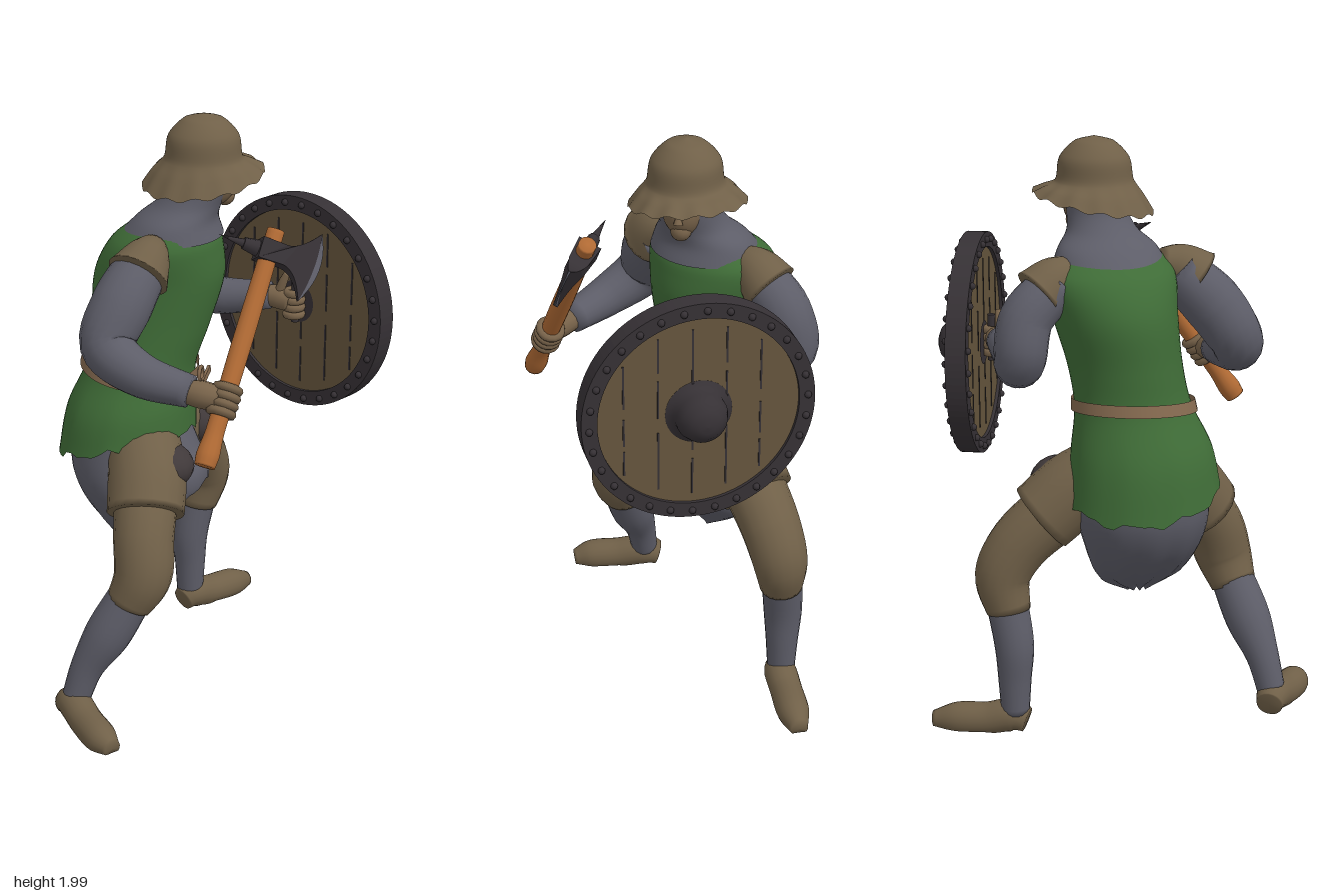
import * as THREE from 'three';

const V = (x, y, z) => new THREE.Vector3(x, y, z);
const mat = (name, color, side = THREE.FrontSide) => {
  const m = new THREE.MeshStandardMaterial({ color, side });
  m.name = name;
  return m;
};

export function createModel() {
  const green = mat('green cloth', 0x3f6c37, THREE.DoubleSide);
  const mail = mat('grey mail', 0x5d5d68, THREE.DoubleSide);
  const leather = mat('brown leather', 0x706048, THREE.DoubleSide);
  const skin = mat('skin', 0x78634a);
  const beltMat = mat('belt leather', 0x84694f, THREE.DoubleSide);
  const handleWood = mat('handle wood', 0xb06a34);
  const plankWood = mat('plank wood', 0x66563d);
  const iron = mat('dark iron', 0x363135);
  const darkCloth = mat('dark cloth', 0x40393a);

  const model = new THREE.Group();
  model.name = 'warrior';
  const add = (name, geo, material, parent = model) => {
    const m = new THREE.Mesh(geo, material);
    m.name = name;
    parent.add(m);
    return m;
  };

  // Joins rings of points into a smooth skin
  const skinRings = (rings) => {
    const n = rings[0].length, pos = [], idx = [];
    rings.forEach((r) => r.forEach((p) => pos.push(p.x, p.y, p.z)));
    for (let i = 0; i < rings.length - 1; i++) {
      for (let j = 0; j < n; j++) {
        const a = i * n + j, b = i * n + (j + 1) % n, c = a + n, d = b + n;
        idx.push(a, c, b, b, c, d);
      }
    }
    const g = new THREE.BufferGeometry();
    g.setAttribute('position', new THREE.Float32BufferAttribute(pos, 3));
    g.setIndex(idx);
    g.computeVertexNormals();
    return g;
  };

  // Rounded limb through points [x, y, z, radius], closed at both ends
  const limb = (pts, n = 18) => {
    const path = new THREE.CatmullRomCurve3(pts.map((p) => V(p[0], p[1], p[2])));
    const size = new THREE.CatmullRomCurve3(pts.map((p, i) => V(p[3], i, 0)));
    const span = path.getPoint(1).sub(path.getPoint(0));
    const s = [Math.abs(span.x), Math.abs(span.y), Math.abs(span.z)];
    const ref = V(0, 0, 0).setComponent(s.indexOf(Math.min(...s)), 1);
    const steps = (pts.length - 1) * 6, rings = [];
    const ring = (t, k) => {
      const c = path.getPoint(t), T = path.getTangent(t), r = size.getPoint(t).x * k;
      const N = ref.clone().addScaledVector(T, -ref.dot(T)).normalize();
      const B = N.clone().cross(T);
      rings.push(Array.from({ length: n }, (_, j) => {
        const a = (j / n) * Math.PI * 2;
        return c.clone().addScaledVector(N, Math.cos(a) * r).addScaledVector(B, Math.sin(a) * r);
      }));
    };
    ring(0, 0.001);
    for (let i = 0; i <= steps; i++) ring(i / steps, 1);
    ring(1, 0.001);
    return skinRings(rings);
  };

  // Upright shell through rows [x, y, z, depth, width], turned by yaw
  const shell = (rows, yaw, bend = () => {}, n = 48, per = 6) => {
    const mid = new THREE.CatmullRomCurve3(rows.map((p) => V(p[0], p[1], p[2])));
    const size = new THREE.CatmullRomCurve3(rows.map((p, i) => V(p[3], p[4], i)));
    const steps = (rows.length - 1) * per, c = Math.cos(yaw), s = Math.sin(yaw);
    return skinRings(Array.from({ length: steps + 1 }, (_, i) => {
      const t = i / steps, m = mid.getPoint(t), r = size.getPoint(t);
      return Array.from({ length: n }, (_, j) => {
        const a = (j / n) * Math.PI * 2, u = r.x * Math.cos(a), w = r.y * Math.sin(a);
        const p = V(m.x + c * u + s * w, m.y, m.z - s * u + c * w);
        bend(p, a, t);
        return p;
      });
    }));
  };
  const bodyYaw = 0.52, headYaw = 1.1;

  // Tunic with a ragged, sloping hem
  add('tunic', shell([
    [-.2, .87, .09, .235, .255], [-.19, 1.0, .08, .22, .235], [-.17, 1.14, .05, .185, .195],
    [-.155, 1.28, .02, .2, .188], [-.145, 1.45, -.015, .22, .205], [-.125, 1.57, -.03, .185, .215],
    [-.09, 1.64, -.04, .125, .16], [-.06, 1.68, -.06, .1, .11],
  ], bodyYaw, (p, a, t) => {
    const k = Math.max(0, 1 - t * 4);
    p.y += k * ((p.x + .2) * .28 + .01 * Math.sin(a * 9) + .006 * Math.sin(a * 17));
  }), green);

  // Belt, buckle and hanging strap end
  add('belt', shell([[-.175, 1.125, .055, .2, .21], [-.17, 1.165, .05, .196, .205]], bodyYaw,
    (p) => { p.y -= (p.x + .17) * .13; }), beltMat);
  const buckle = add('buckle', new THREE.TorusGeometry(.024, .007, 6, 16), beltMat);
  buckle.position.set(.012, 1.115, -.05);
  buckle.rotation.y = Math.PI / 2 + bodyYaw;
  const strap = add('strapEnd', new THREE.BoxGeometry(.01, .022, .13), beltMat);
  strap.position.set(0, 1.09, -.085);
  strap.rotation.set(.15, bodyYaw, 0);

  // Mail skirt: a short apron in front, a low rounded bag behind, open between
  const back = [[-.11, .48, .06, .03, .04], [-.13, .545, .065, .1, .15], [-.165, .66, .08, .17, .2],
    [-.19, .78, .085, .2, .225], [-.2, .95, .08, .195, .215]];
  add('mailSkirt', shell(back, bodyYaw, (p, a, t) => {
    const k = (1 - t) * Math.max(0, Math.cos(a));
    p.x += k * .13;
    p.z -= k * .075;
    p.y += k * .27 + (1 - t) * .008 * Math.sin(a * 11);
  }), mail);

  // Mail collar and hood
  add('mailHood', shell([
    [-.105, 1.595, -.035, .17, .19], [-.09, 1.65, -.045, .135, .165], [-.06, 1.7, -.065, .11, .118],
    [-.035, 1.76, -.085, .1, .1], [-.025, 1.86, -.095, .1, .1],
  ], bodyYaw), mail);

  // Face
  const head = new THREE.Group();
  head.name = 'head';
  head.position.set(-.02, 1.775, -.095);
  head.rotation.y = headYaw;
  model.add(head);
  const face = add('face', new THREE.SphereGeometry(.085, 24, 16), skin, head);
  face.position.set(.03, 0, 0);
  face.scale.set(1, 1.05, .8);
  const nose = add('nose', new THREE.ConeGeometry(.016, .05, 8), skin, head);
  nose.position.set(.115, .005, 0);
  nose.rotation.z = .3;
  const chin = add('chin', new THREE.SphereGeometry(.034, 16, 10), skin, head);
  chin.position.set(.075, -.058, 0);

  // Kettle helmet with a wavy brim
  add('helmet', shell([
    [-.025, 1.785, -.1, .203, .19], [-.025, 1.822, -.1, .168, .16], [-.02, 1.856, -.095, .13, .125],
    [-.02, 1.93, -.095, .116, .111], [-.02, 1.983, -.095, .065, .062], [-.02, 2, -.095, .001, .001],
  ], headYaw, (p, a, t) => {
    const k = Math.max(0, 1 - t * 2.6);
    p.y += k * (.006 * Math.sin(a * 13) - (p.z + .1) * .17);
  }, 96), leather);

  // Arms, shoulder caps and palms
  add('rightSleeve', limb([[-.02, 1.56, .18, .085], [-.01, 1.45, .295, .1], [0, 1.33, .375, .09],
    [.12, 1.26, .36, .073], [.28, 1.22, .285, .053]]), mail);
  add('leftSleeve', limb([[-.23, 1.55, -.19, .08], [-.295, 1.45, -.28, .088], [-.315, 1.32, -.3, .085],
    [-.2, 1.28, -.33, .07], [0, 1.3, -.42, .048]]), mail);
  add('rightShoulderCap', limb([[-.04, 1.595, .12, .045], [-.01, 1.57, .185, .08], [0, 1.53, .235, .105]]), leather);
  add('leftShoulderCap', limb([[-.18, 1.59, -.14, .045], [-.225, 1.565, -.195, .077], [-.26, 1.52, -.245, .095]]), leather);
  add('rightPalm', limb([[.25, 1.22, .3, .035], [.31, 1.215, .27, .045], [.36, 1.205, .24, .04]], 12), skin);
  add('leftPalm', limb([[-.02, 1.3, -.41, .035], [.03, 1.295, -.435, .042], [.07, 1.285, -.445, .036]], 12), skin);
  add('leftThumb', limb([[.03, 1.31, -.425, .018], [.045, 1.355, -.43, .016], [.06, 1.39, -.435, .011]], 10), skin);

  // Legs: pelvis, wide shorts, trousers, mail stockings and shoes
  add('pelvis', limb([[-.12, .9, .16, .13], [-.18, .92, .07, .14], [-.2, .9, -.06, .13]]), leather);
  const legs = {
    right: {
      shorts: [[-.1, .93, .12, .12], [0, .82, .2, .132], [.055, .715, .265, .13]],
      trousers: [[0, .8, .2, .11], [.08, .65, .3, .102], [.108, .53, .335, .098], [.08, .43, .375, .078]],
      stocking: [[.085, .46, .365, .074], [.035, .32, .43, .078], [-.01, .2, .485, .057], [-.035, .08, .52, .048]],
      shoe: [[-.085, .05, .515, .045], [-.04, .065, .525, .056], [.06, .045, .56, .056], [.16, .035, .59, .054], [.222, .025, .6, .03]],
    },
    left: {
      shorts: [[-.18, .93, 0, .12], [-.2, .85, -.14, .128], [-.23, .755, -.25, .125]],
      trousers: [[-.21, .82, -.15, .11], [-.255, .67, -.32, .102], [-.275, .56, -.375, .094], [-.29, .44, -.355, .074]],
      stocking: [[-.29, .47, -.36, .07], [-.305, .32, -.335, .066], [-.305, .2, -.335, .056], [-.305, .08, -.335, .048]],
      shoe: [[-.305, .05, -.295, .042], [-.3, .065, -.34, .056], [-.295, .045, -.43, .056], [-.285, .035, -.54, .055], [-.28, .025, -.622, .03]],
    },
  };
  for (const [side, leg] of Object.entries(legs)) {
    for (const [part, pts] of Object.entries(leg)) {
      const geo = limb(pts);
      if (part === 'shoe') {
        const p = geo.attributes.position;
        for (let i = 0; i < p.count; i++) p.setY(i, Math.max(0.008, p.getY(i)));
        geo.computeVertexNormals();
      }
      add(side + part[0].toUpperCase() + part.slice(1), geo, part === 'stocking' ? mail : leather);
    }
  }
  // Dark flaps on the inner front of the thighs
  [[.018, .85, .15, .12, .08, .1], [-.15, .86, -.2, .115, .085, .1]].forEach(([x, y, z, a, b, c], i) => {
    const flap = add(i ? 'leftThighFlap' : 'rightThighFlap', new THREE.SphereGeometry(1, 20, 12), darkCloth);
    flap.position.set(x, y, z);
    flap.scale.set(a, b, c);
  });

  // Axe, built along its own handle: x towards the blade, y up the handle
  const axe = new THREE.Group();
  axe.name = 'axe';
  const up = V(-.1, .65, -.44).normalize();
  const out = V(.62, -.38, -.69);
  out.addScaledVector(up, -out.dot(up)).normalize();
  axe.applyMatrix4(new THREE.Matrix4().makeBasis(out, up, out.clone().cross(up)).setPosition(.309, 1.61, -.05));
  model.add(axe);
  add('axeHandle', limb([[0, -.72, 0, .034], [0, -.68, 0, .038], [0, -.6, 0, .031], [0, -.3, 0, .033],
    [0, 0, 0, .03], [0, .075, 0, .029]], 14), handleWood, axe);
  // Extruded blade part, thinning away from the handle
  const bladePart = (name, shape, material) => {
    const geo = new THREE.ExtrudeGeometry(shape, { depth: .07, bevelEnabled: false, curveSegments: 10 }).translate(0, 0, -.035);
    const p = geo.attributes.position;
    for (let i = 0; i < p.count; i++) {
      p.setZ(i, p.getZ(i) * THREE.MathUtils.clamp(1.15 - (p.getX(i) - .02) * 8, .06, 1.15));
    }
    geo.computeVertexNormals();
    add(name, geo, material, axe);
  };
  const blade = new THREE.Shape();
  blade.moveTo(-.04, .035);
  blade.lineTo(.045, .035);
  blade.quadraticCurveTo(.09, .04, .15, .115);
  blade.quadraticCurveTo(.17, 0, .135, -.12);
  blade.quadraticCurveTo(.1, -.03, .045, -.03);
  blade.lineTo(-.04, -.035);
  bladePart('axeBlade', blade, iron);
  const edge = new THREE.Shape();
  edge.moveTo(.15, .115);
  edge.quadraticCurveTo(.208, 0, .135, -.12);
  edge.quadraticCurveTo(.17, 0, .15, .115);
  bladePart('axeEdge', edge, mail);
  const block = add('axeSpikeBase', new THREE.CylinderGeometry(.02, .03, .06, 8), iron, axe);
  block.position.x = -.06;
  block.rotation.z = Math.PI / 2;
  const spike = add('axeSpike', new THREE.ConeGeometry(.015, .09, 8), iron, axe);
  spike.position.x = -.13;
  spike.rotation.z = Math.PI / 2;
  // Fingers wrapped round the axe and the shield grip
  const grip = (parent, name, x, y, z, r, tube) => {
    for (let i = 0; i < 4; i++) {
      const f = add(name, new THREE.TorusGeometry(r, tube, 8, 16), skin, parent);
      f.position.set(x, y + i * tube * 1.75, z);
      f.rotation.x = Math.PI / 2;
    }
  };
  grip(axe, 'rightFinger', 0, -.54, 0, .036, .015);

  // Round shield facing -z
  const shield = new THREE.Group();
  shield.name = 'shield';
  shield.position.set(.06, 1.275, -.5125);
  model.add(shield);
  const disc = add('shieldBoard', new THREE.CylinderGeometry(.345, .345, .045, 64), plankWood, shield);
  disc.rotation.x = Math.PI / 2;
  const rimShape = new THREE.Shape().absarc(0, 0, .376, 0, Math.PI * 2);
  rimShape.holes.push(new THREE.Path().absarc(0, 0, .325, 0, Math.PI * 2, true));
  add('shieldRim', new THREE.ExtrudeGeometry(rimShape, { depth: .068, bevelEnabled: false, curveSegments: 48 })
    .translate(0, 0, -.034), iron, shield);
  for (const s of [-1, 1]) {
    // Broken plank gaps
    for (let i = -2; i <= 2; i++) {
      const x = i * .11 + .02, h = Math.sqrt(.32 ** 2 - x * x);
      for (const [mid, len] of [[.55, .7], [-.2, .45], [-.72, .4]]) {
        const gap = add('plankGap', new THREE.BoxGeometry(.006, h * len, .003), iron, shield);
        gap.position.set(x, h * mid * (i % 2 ? -1 : 1), s * .0235);
      }
    }
    // Rim studs
    for (let i = 0; i < 30; i++) {
      const a = ((i + s * .2) / 30) * Math.PI * 2;
      const stud = add('rimStud', new THREE.SphereGeometry(.012, 8, 6), iron, shield);
      stud.position.set(Math.cos(a) * .352, Math.sin(a) * .352, s * .037);
    }
  }
  // Boss with flange and hand grip
  const boss = add('shieldBoss', new THREE.LatheGeometry([
    [.108, 0], [.108, .012], [.084, .016], [.083, .05], [.072, .082], [.048, .106], [.024, .115], [0, .117],
  ].map(([r, y]) => new THREE.Vector2(r, y)), 32), iron, shield);
  boss.position.z = -.012;
  boss.rotation.x = -Math.PI / 2;
  const opening = add('bossOpening', new THREE.CircleGeometry(.075, 32), iron, shield);
  opening.position.z = .026;
  const bar = add('shieldGrip', new THREE.CylinderGeometry(.014, .014, .16, 12), iron, shield);
  bar.position.set(.015, .015, .05);
  grip(model, 'leftFinger', .075, 1.24, -.455, .026, .015);

  return model;
}
